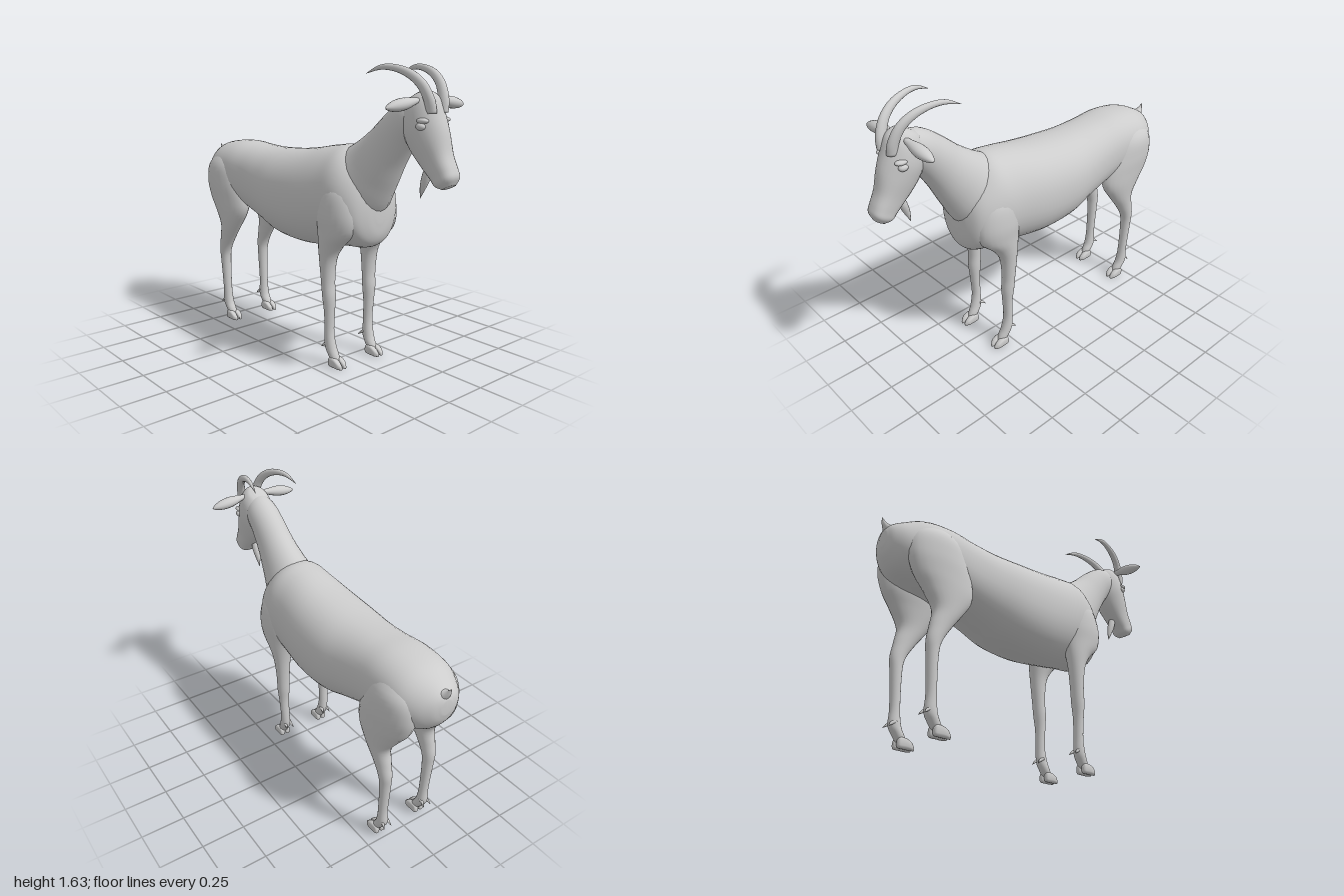
import * as THREE from 'three';

const coat = new THREE.MeshStandardMaterial({ color: 0xcccccc });
coat.name = 'grey coat';

// Smooth skin over stations [x, y, z, halfWidth, halfDepth, roundness = 2].
// Rings face along "dir" if given, otherwise along the path in the YZ plane.
function loft(stations, { dir = null, sides = 28, steps = 5 } = {}) {
  const path = new THREE.CatmullRomCurve3(stations.map(s => new THREE.Vector3(s[0], s[1], s[2])), false, 'catmullrom');
  const size = new THREE.CatmullRomCurve3(stations.map(s => new THREE.Vector3(s[3], s[4], s[5] ?? 2)), false, 'catmullrom');
  const n = (stations.length - 1) * steps;
  const pos = [], idx = [];
  for (let i = 0; i <= n; i++) {
    const p = path.getPoint(i / n), r = size.getPoint(i / n);
    const t = dir ? new THREE.Vector3(...dir) : path.getTangent(i / n).setX(0).normalize();
    for (let j = 0; j < sides; j++) {
      const a = (j / sides) * Math.PI * 2, c = Math.cos(a), s = Math.sin(a);
      const u = Math.sign(c) * Math.abs(c) ** (2 / r.z) * Math.max(r.x, 0.001);
      const v = Math.sign(s) * Math.abs(s) ** (2 / r.z) * Math.max(r.y, 0.001);
      pos.push(p.x + u, p.y + v * t.z, p.z - v * t.y);
    }
  }
  const row = sides * n, start = sides * (n + 1), end = start + 1;
  pos.push(...path.getPoint(0).toArray(), ...path.getPoint(1).toArray());
  for (let j = 0; j < sides; j++) {
    const k = (j + 1) % sides;
    for (let i = 0; i < n; i++) {
      const a = i * sides + j, b = i * sides + k;
      idx.push(a, b, b + sides, a, b + sides, a + sides);
    }
    idx.push(start, k, j, end, row + j, row + k);
  }
  const g = new THREE.BufferGeometry();
  g.setAttribute('position', new THREE.Float32BufferAttribute(pos, 3));
  g.setIndex(idx);
  g.computeVertexNormals();
  return g;
}

export function createModel() {
  const model = new THREE.Group();
  model.name = 'goat';
  const add = (name, geometry, parent = model) => {
    const m = new THREE.Mesh(geometry, coat);
    m.name = name;
    parent.add(m);
    return m;
  };
  const ball = (name, x, y, z, rx, ry, rz) => {
    const m = add(name, new THREE.SphereGeometry(1, 20, 14));
    m.position.set(x, y, z);
    m.scale.set(rx, ry, rz);
    return m;
  };

  // Trunk from rump to chest: [z, bottom, top, halfWidth, roundness]
  const trunk = [
    [-0.975, 0.95, 1.03, 0.03, 2], [-0.955, 0.89, 1.065, 0.085, 2], [-0.9, 0.825, 1.1, 0.145, 2],
    [-0.8, 0.79, 1.14, 0.19, 2.2], [-0.65, 0.77, 1.155, 0.2, 2.3], [-0.5, 0.73, 1.145, 0.2, 2.3],
    [-0.35, 0.68, 1.14, 0.215, 2.2], [-0.2, 0.635, 1.145, 0.235, 2.2], [0, 0.62, 1.165, 0.235, 2.2],
    [0.2, 0.64, 1.2, 0.22, 2.1], [0.32, 0.66, 1.205, 0.215, 2.1], [0.41, 0.668, 1.14, 0.195, 2.1],
    [0.47, 0.69, 1.07, 0.155, 2.1], [0.5, 0.74, 0.99, 0.09, 2], [0.51, 0.82, 0.92, 0.03, 2],
  ];
  add('trunk', loft(trunk.map(([z, lo, hi, w, e]) => [0, (lo + hi) / 2, z, w, (hi - lo) / 2, e]),
    { dir: [0, 0, 1], sides: 40 }));

  // Neck, rising forward out of the shoulders
  add('neck', loft([
    [0, 0.93, 0.27, 0.14, 0.2], [0, 1.02, 0.37, 0.15, 0.2], [0, 1.11, 0.46, 0.125, 0.165],
    [0, 1.21, 0.55, 0.105, 0.13], [0, 1.3, 0.63, 0.096, 0.112], [0, 1.37, 0.71, 0.09, 0.1], [0, 1.4, 0.77, 0.07, 0.08],
  ]));

  // Head, from crown down to muzzle
  add('head', loft([
    [0, 1.485, 0.745, 0.025, 0.035], [0, 1.468, 0.75, 0.06, 0.075], [0, 1.42, 0.765, 0.087, 0.11],
    [0, 1.34, 0.79, 0.097, 0.118], [0, 1.265, 0.825, 0.088, 0.112], [0, 1.18, 0.873, 0.07, 0.083, 2.4],
    [0, 1.12, 0.917, 0.062, 0.067, 2.6], [0, 1.085, 0.938, 0.058, 0.058, 2.6], [0, 1.06, 0.95, 0.035, 0.03, 2.3],
  ], { dir: [0, -0.88, 0.47] }));

  // Beard and tail
  add('beard', loft([
    [0, 1.14, 0.825, 0.02, 0.02], [0, 1.09, 0.808, 0.022, 0.022], [0, 1.04, 0.79, 0.014, 0.016], [0, 0.985, 0.775, 0.001, 0.001],
  ], { sides: 12 }));
  add('tail', loft([
    [0, 1.03, -0.88, 0.055, 0.05], [0, 1.045, -0.935, 0.04, 0.035], [0, 1.07, -0.97, 0.018, 0.015], [0, 1.105, -0.99, 0.001, 0.001],
  ], { sides: 14 }));

  // Leg stations: [x, y, z, halfWidth, halfDepth]
  const frontLeg = [
    [0.1, 1.06, 0.31, 0.05, 0.06], [0.125, 0.98, 0.32, 0.085, 0.12], [0.135, 0.86, 0.33, 0.092, 0.14],
    [0.14, 0.76, 0.325, 0.08, 0.125], [0.148, 0.68, 0.29, 0.062, 0.078], [0.153, 0.6, 0.273, 0.048, 0.05],
    [0.152, 0.48, 0.272, 0.04, 0.037], [0.15, 0.39, 0.278, 0.038, 0.036], [0.148, 0.3, 0.28, 0.031, 0.028],
    [0.146, 0.19, 0.277, 0.028, 0.026], [0.143, 0.11, 0.285, 0.03, 0.034], [0.14, 0.065, 0.305, 0.029, 0.033],
    [0.14, 0.03, 0.325, 0.024, 0.028],
  ];
  const backLeg = [
    [0.08, 1.1, -0.72, 0.06, 0.08], [0.115, 1.01, -0.735, 0.095, 0.15], [0.13, 0.9, -0.72, 0.093, 0.18],
    [0.135, 0.8, -0.69, 0.083, 0.18], [0.142, 0.72, -0.665, 0.07, 0.145], [0.147, 0.63, -0.667, 0.055, 0.086],
    [0.148, 0.54, -0.705, 0.043, 0.058], [0.148, 0.46, -0.735, 0.036, 0.041], [0.146, 0.38, -0.739, 0.032, 0.031],
    [0.144, 0.2, -0.73, 0.027, 0.026], [0.142, 0.11, -0.725, 0.03, 0.034], [0.14, 0.065, -0.702, 0.029, 0.033],
    [0.14, 0.03, -0.68, 0.024, 0.028],
  ];

  for (const s of [1, -1]) {
    const side = s > 0 ? 'left' : 'right';
    const mirror = list => list.map(([x, ...rest]) => [x * s, ...rest]);

    // Legs with split hooves and dewclaws
    for (const [name, stations, z] of [['FrontLeg', frontLeg, 0.3], ['BackLeg', backLeg, -0.705]]) {
      const leg = new THREE.Group();
      leg.name = side + name;
      model.add(leg);
      add('limb', loft(mirror(stations), { dir: [0, -1, 0], sides: 24 }), leg);
      for (const toe of [-1, 1]) {
        const x = 0.14 * s + toe * 0.018;
        add('hoof', loft([
          [x, 0.02, z - 0.01, 0.008, 0.014], [x, 0.026, z, 0.016, 0.026, 3], [x, 0.027, z + 0.035, 0.0185, 0.027, 3],
          [x, 0.019, z + 0.068, 0.016, 0.019, 3], [x - toe * 0.004, 0.01, z + 0.087, 0.007, 0.009, 2.5],
        ], { dir: [0, 0, 1], sides: 16 }), leg);
        add('dewclaw', loft([
          [x, 0.125, z - 0.025, 0.01, 0.01], [x, 0.112, z - 0.05, 0.008, 0.008], [x + toe * 0.006, 0.094, z - 0.07, 0.001, 0.001],
        ], { sides: 8 }), leg);
      }
    }

    // Horns sweeping up, back and outward
    add(side + 'Horn', loft(mirror([
      [0.04, 1.4, 0.862, 0.024, 0.03], [0.05, 1.46, 0.858, 0.024, 0.029], [0.066, 1.53, 0.825, 0.022, 0.026],
      [0.084, 1.58, 0.765, 0.02, 0.022], [0.102, 1.607, 0.685, 0.016, 0.017], [0.118, 1.609, 0.605, 0.011, 0.012],
      [0.132, 1.58, 0.525, 0.001, 0.001],
    ]), { sides: 16 }));

    // Leaf-shaped ears held out sideways
    const leaf = [[0, -0.12], [0.014, -0.115], [0.022, -0.08], [0.034, -0.03], [0.037, 0.01], [0.031, 0.05], [0.017, 0.085], [0, 0.105]];
    const ear = add(side + 'Ear', new THREE.LatheGeometry(
      new THREE.SplineCurve(leaf.map(p => new THREE.Vector2(...p))).getPoints(20).map(p => p.setX(Math.max(p.x, 0))), 20));
    ear.position.set(0.172 * s, 1.443, 0.797);
    ear.rotation.z = -s * (Math.PI / 2 + 0.14);
    ear.scale.set(0.8, 1, 0.95);

    // Eyes under heavy brows
    ball(side + 'Eye', 0.083 * s, 1.34, 0.838, 0.02, 0.018, 0.026);
    ball(side + 'Brow', 0.077 * s, 1.367, 0.843, 0.022, 0.014, 0.034);
  }
  return model;
}
